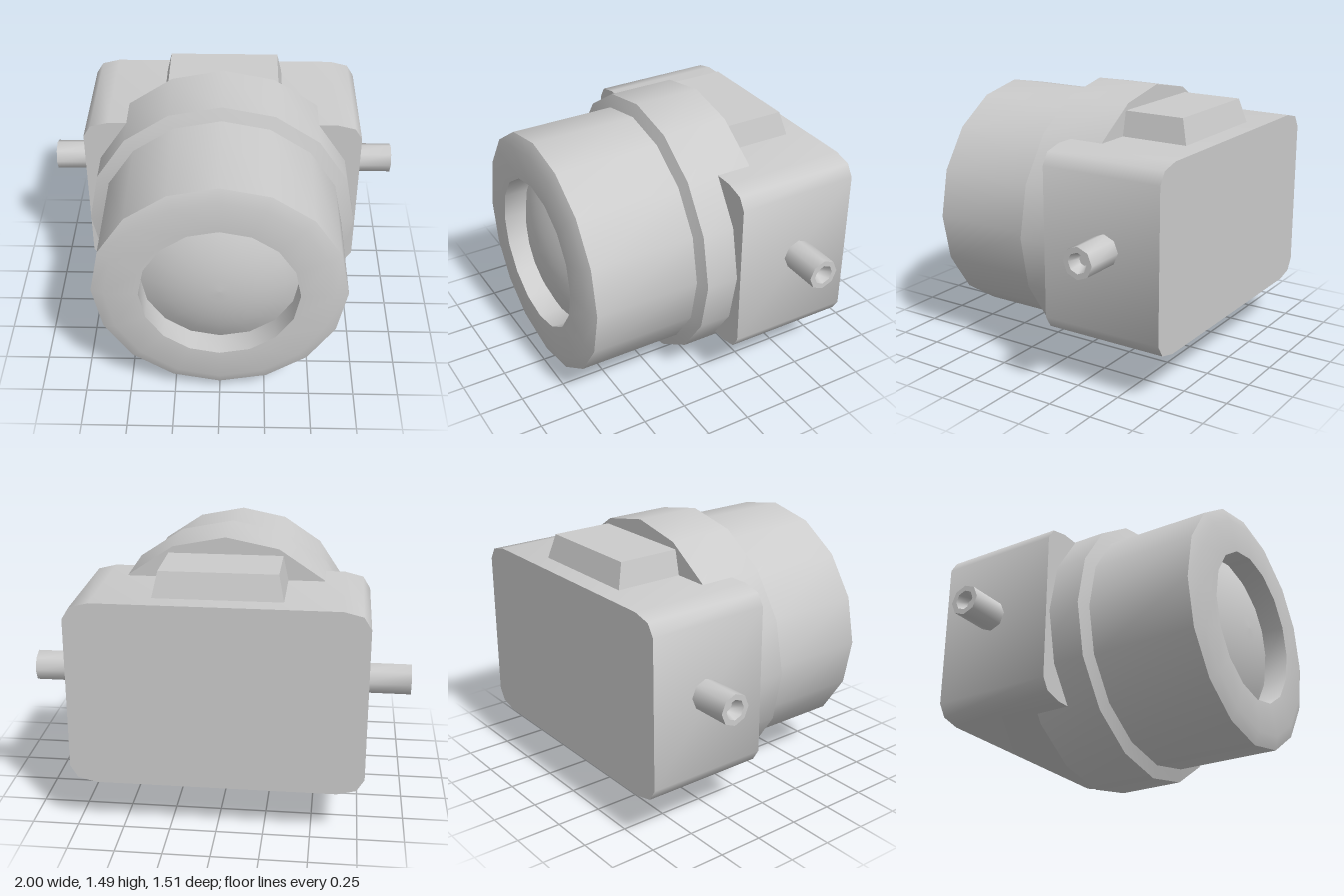
import * as THREE from 'three';
import { toCreasedNormals } from 'three/addons/utils/BufferGeometryUtils.js';

const material = new THREE.MeshStandardMaterial({ color: 0xcccccc });

function part(name, geometry, crease) {
  const mesh = new THREE.Mesh(toCreasedNormals(geometry, crease), material);
  mesh.name = name;
  return mesh;
}

// Profile of [radius, height] pairs turned around the y axis
function lathe(profile, sides) {
  return new THREE.LatheGeometry(profile.map(([r, h]) => new THREE.Vector2(r, h)), sides);
}

export function createModel() {
  const model = new THREE.Group();
  model.name = 'camera';
  const axisY = 0.755;

  // Stepped 16-sided barrel with a recessed front opening
  const barrel = part('barrel', lathe([
    [0, -0.26], [0.745, -0.26], [0.745, 0.115], [0.675, 0.14],
    [0.675, 0.727], [0.605, 0.755], [0.425, 0.755], [0.425, 0.62],
  ], 16).rotateX(Math.PI / 2), 0.6);
  barrel.position.y = axisY;
  model.add(barrel);

  // Domed lens seated in the opening
  const lensProfile = [];
  const bulge = 0.11, lensRadius = 0.425;
  const sphere = (lensRadius ** 2 + bulge ** 2) / (2 * bulge);
  for (let i = 6; i >= 0; i--) {
    const r = lensRadius * i / 6;
    lensProfile.push([r, 0.62 + bulge - sphere + Math.sqrt(sphere ** 2 - r ** 2)]);
  }
  const lens = new THREE.Mesh(lathe(lensProfile, 16).rotateX(Math.PI / 2), material);
  lens.name = 'lens';
  lens.position.y = axisY;
  model.add(lens);

  // Body block with softened long edges
  const corner = [[0.775, 0.41], [0.735, 0.475], [0.635, 0.5]];
  const mirrored = [...corner].reverse();
  const outline = [
    ...corner,
    ...mirrored.map(([x, y]) => [-x, y]),
    ...corner.map(([x, y]) => [-x, -y]),
    ...mirrored.map(([x, y]) => [x, -y]),
  ].map(([x, y]) => new THREE.Vector2(x, y));
  const body = part('body', new THREE.ExtrudeGeometry(new THREE.Shape(outline),
    { depth: 0.69, bevelEnabled: false }), 0.8);
  body.position.set(0, 0.775, -0.755);
  model.add(body);

  // Raised top block, tapering at the sides and the back
  const hump = new THREE.BoxGeometry(0.68, 0.15, 0.445);
  const p = hump.attributes.position;
  for (let i = 0; i < p.count; i++) {
    if (p.getY(i) < 0) continue;
    p.setX(i, Math.sign(p.getX(i)) * 0.308);
    if (p.getZ(i) < 0) p.setZ(i, p.getZ(i) + 0.042);
  }
  const topBlock = part('topBlock', hump, 0.1);
  topBlock.position.set(0, 1.333, -0.4225);
  model.add(topBlock);

  // Octagonal side pins with a tapered socket in the end
  for (const side of [1, -1]) {
    const pin = part(side > 0 ? 'leftPin' : 'rightPin', lathe([
      [0.085, 0.7], [0.085, 1], [0.055, 1], [0.03, 0.94], [0, 0.94],
    ], 8).rotateZ(-side * Math.PI / 2), 0.85);
    pin.position.set(0, 0.805, -0.433);
    model.add(pin);
  }
  return model;
}
